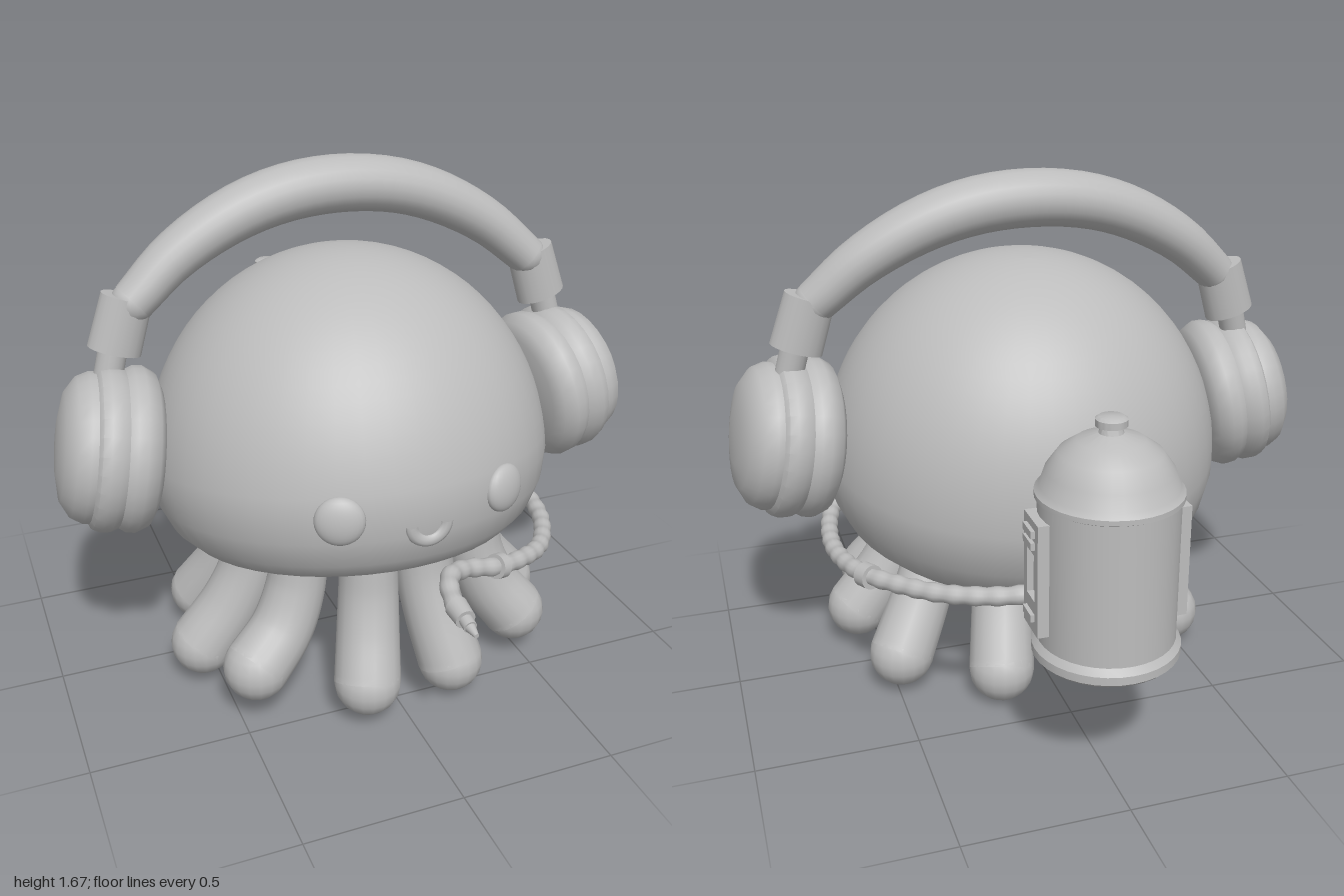
import * as THREE from 'three';
import { mergeVertices, mergeGeometries, toCreasedNormals } from 'three/addons/utils/BufferGeometryUtils.js';

const grey = new THREE.MeshStandardMaterial({ color: 0xbcbcbc });
grey.name = 'plain grey';
const v = (x, y, z) => new THREE.Vector3(x, y, z);

function add(parent, name, geometry, x = 0, y = 0, z = 0) {
  const mesh = new THREE.Mesh(geometry, grey);
  mesh.name = name;
  mesh.position.set(x, y, z);
  parent.add(mesh);
  return mesh;
}

const lathe = (points, segments, crease) => {
  const g = new THREE.LatheGeometry(points.map(p => new THREE.Vector2(p[0], p[1])), segments);
  return crease ? toCreasedNormals(g, crease) : g;
};

// Tube whose radius varies along its path, with round ends
function sweep(points, radius, segments, sides, zScale = 1) {
  const path = new THREE.CatmullRomCurve3(points.map(p => v(...p)));
  const tube = new THREE.TubeGeometry(path, segments, 1, sides);
  const pos = tube.attributes.position;
  const p = v(0, 0, 0);
  for (let i = 0; i <= segments; i++) {
    const c = path.getPointAt(i / segments);
    const r = radius(i / segments);
    for (let j = 0; j <= sides; j++) {
      const k = i * (sides + 1) + j;
      p.fromBufferAttribute(pos, k).sub(c).multiplyScalar(r);
      p.z *= zScale;
      p.add(c);
      pos.setXYZ(k, p.x, p.y, p.z);
    }
  }
  tube.deleteAttribute('uv');
  tube.deleteAttribute('normal');
  const smooth = mergeVertices(tube);
  smooth.computeVertexNormals();
  const ends = [0, 1].map(t => {
    const ball = new THREE.SphereGeometry(radius(t), sides, 10);
    ball.deleteAttribute('uv');
    const c = path.getPointAt(t);
    return mergeVertices(ball.translate(c.x, c.y, c.z));
  });
  return mergeGeometries([smooth, ...ends]);
}

// Cylinder running between two points
function rod(parent, name, a, b, ra, rb, zScale = 1, sides = 20) {
  const A = v(...a), B = v(...b);
  const g = new THREE.CylinderGeometry(rb, ra, A.distanceTo(B), sides);
  const mesh = add(parent, name, g);
  mesh.position.copy(A).add(B).multiplyScalar(0.5);
  mesh.quaternion.setFromUnitVectors(v(0, 1, 0), B.sub(A).normalize());
  mesh.scale.z = zScale;
  return mesh;
}

function buildBody(root) {
  // Tilted dome with a rounded rim and shallow underside
  const profile = [[0, -0.2], [0.25, -0.22], [0.4, -0.245], [0.48, -0.25], [0.55, -0.228], [0.605, -0.175], [0.645, -0.09]];
  for (let i = 0; i <= 20; i++) {
    const a = i / 20 * Math.PI / 2;
    profile.push([i === 20 ? 0 : 0.66 * Math.cos(a), 0.69 * Math.sin(a)]);
  }
  const dome = add(root, 'body', lathe(profile, 48), 0, 0.72, 0.062);
  dome.rotation.x = -0.16;
  dome.scale.z = 0.965;

  // Face
  for (const x of [-0.25, 0.28]) {
    const eye = add(root, 'eye', new THREE.SphereGeometry(0.075, 24, 16), x, 0.8, x < 0 ? 0.64 : 0.628);
    eye.scale.z = 0.45;
    eye.rotation.set(-0.1, x * 1.5, 0);
  }
  const smile = add(root, 'smile', new THREE.TorusGeometry(0.056, 0.02, 10, 20, Math.PI), 0.01, 0.765, 0.685);
  smile.rotation.z = Math.PI;
  smile.scale.z = 0.8;
}

function buildTentacles(root) {
  // Each: top x, top z, foot x, foot z, foot y
  const legs = [
    [-0.08, 0.45, -0.125, 0.56, 0.155], [0.125, 0.41, 0.185, 0.515, 0.13],
    [-0.27, 0.34, -0.445, 0.42, 0.2], [0.33, 0.34, 0.48, 0.39, 0.175],
    [-0.37, 0.17, -0.55, 0.16, 0.15], [0.37, 0.17, 0.565, 0.16, 0.15],
    [-0.33, -0.045, -0.47, -0.175, 0.135], [0.33, -0.045, 0.48, -0.175, 0.135],
    [-0.13, -0.16, -0.16, -0.34, 0.12], [0.13, -0.16, 0.185, -0.34, 0.12],
  ];
  for (const [tx, tz, fx, fz, fy] of legs) {
    const mix = (a, b, t) => a + (b - a) * t;
    const points = [
      [tx, 0.56, tz],
      [mix(tx, fx, 0.1), 0.42, mix(tz, fz, 0.1)],
      [mix(tx, fx, 0.43), 0.29, mix(tz, fz, 0.43)],
      [fx, fy, fz],
    ];
    add(root, 'tentacle', sweep(points, t => 0.09 + 0.016 * t, 20, 18));
  }
}

function buildHeadphones(root) {
  const phones = new THREE.Group();
  phones.name = 'headphones';
  root.add(phones);

  const half = [[0.67, 1.3, 0], [0.53, 1.42, -0.025], [0.35, 1.52, -0.04], [0.18, 1.573, -0.047]];
  const band = [...half.map(([x, y, z]) => [-x, y, z]), [0, 1.59, -0.05], ...half.reverse()];
  add(phones, 'headband', sweep(band, t => 0.066 + 0.024 * Math.sin(Math.PI * t), 28, 20, 1.1));

  // Cushion, middle ring and domed cap in one profile
  const cup = [[0, 0], [0.2, 0], [0.24, 0.02], [0.261, 0.06], [0.259, 0.09], [0.247, 0.112], [0.259, 0.135],
    [0.261, 0.165], [0.252, 0.19], [0.235, 0.2], [0.235, 0.22], [0.218, 0.257], [0.17, 0.29], [0.09, 0.305], [0, 0.308]];
  for (const s of [-1, 1]) {
    rod(phones, 'bandSleeve', [s * 0.737, 1.155, 0.003], [s * 0.685, 1.318, -0.003], 0.084, 0.08, 0.76);
    rod(phones, 'bandStem', [s * 0.77, 1.05, 0.01], [s * 0.735, 1.18, 0], 0.045, 0.045);
    const ear = add(phones, 'earCup', lathe(cup, 28, 0.7), s * 0.643, 0.832, 0.065);
    ear.quaternion.setFromUnitVectors(v(0, 1, 0), v(s * 0.97, 0.16, -0.1).normalize());
  }
}

function buildCanister(root) {
  const tank = new THREE.Group();
  tank.name = 'canister';
  tank.position.set(0.003, 0, -0.783);
  root.add(tank);
  const shell = [[0, 0.42], [0.205, 0.42], [0.215, 0.43], [0.215, 0.455], [0.2, 0.475], [0.2, 0.9], [0.209, 0.905],
    [0.209, 0.92], [0.195, 0.935], [0.18, 0.98], [0.145, 1.03], [0.095, 1.065], [0.035, 1.085],
    [0.03, 1.1], [0.045, 1.105], [0.045, 1.125], [0.035, 1.132], [0, 1.133]];
  add(tank, 'canisterShell', lathe(shell, 36, 0.6));

  // Framed plates with a window and buttons on both sides
  const frame = new THREE.Shape();
  frame.moveTo(-0.06, -0.17).lineTo(0.06, -0.17).lineTo(0.06, 0.17).lineTo(-0.06, 0.17).closePath();
  const hole = new THREE.Path();
  hole.moveTo(-0.035, -0.07).lineTo(-0.035, 0.07).lineTo(0.035, 0.07).lineTo(0.035, -0.07).closePath();
  frame.holes.push(hole);
  for (const s of [-1, 1]) {
    const plate = new THREE.Group();
    plate.name = 'sidePlate';
    plate.position.set(s * 0.18, 0.69, 0.005);
    plate.rotation.y = s * Math.PI / 2;
    tank.add(plate);
    add(plate, 'plateFrame', new THREE.ExtrudeGeometry(frame, { depth: 0.045, bevelEnabled: false }));
    add(plate, 'plateWindow', new THREE.BoxGeometry(0.07, 0.14, 0.02), 0, 0, 0.015);
    for (const y of [-0.12, 0.1, 0.135]) {
      add(plate, 'plateButton', new THREE.BoxGeometry(0.07, 0.022, 0.02), 0, y, 0.047);
    }
  }
  const block = add(tank, 'hoseSocket', new THREE.BoxGeometry(0.11, 0.12, 0.08), 0.135, 0.56, 0.15);
  block.rotation.y = 0.8;
}

function buildHose(root) {
  const path = [[0.13, 0.55, -0.64], [0.24, 0.53, -0.6], [0.4, 0.51, -0.5], [0.53, 0.495, -0.36], [0.61, 0.485, -0.24],
    [0.655, 0.465, -0.05], [0.655, 0.46, 0.12], [0.61, 0.465, 0.32], [0.5, 0.48, 0.5], [0.36, 0.52, 0.61],
    [0.26, 0.545, 0.655], [0.13, 0.585, 0.69], [0.05, 0.61, 0.75], [0.015, 0.6, 0.84], [0.012, 0.59, 0.9]];
  add(root, 'hose', sweep(path, t => 0.028 + 0.002 * Math.sin(t * 200), 200, 12));
  rod(root, 'hoseCollar', [0.585, 0.488, -0.29], [0.605, 0.484, -0.25], 0.039, 0.039);
  rod(root, 'hoseCollar', [0.28, 0.54, 0.648], [0.25, 0.548, 0.66], 0.039, 0.039);
  rod(root, 'nozzleCollar', [0.012, 0.595, 0.87], [0.012, 0.588, 0.93], 0.034, 0.03);
  rod(root, 'nozzle', [0.012, 0.588, 0.93], [0.012, 0.582, 0.96], 0.02, 0.02);
  rod(root, 'nozzleTip', [0.012, 0.582, 0.95], [0.012, 0.578, 0.998], 0.018, 0.007);
}

export function createModel() {
  const root = new THREE.Group();
  root.name = 'jellyfishWithHeadphones';
  buildBody(root);
  buildTentacles(root);
  buildHeadphones(root);
  buildCanister(root);
  buildHose(root);
  return root;
}
